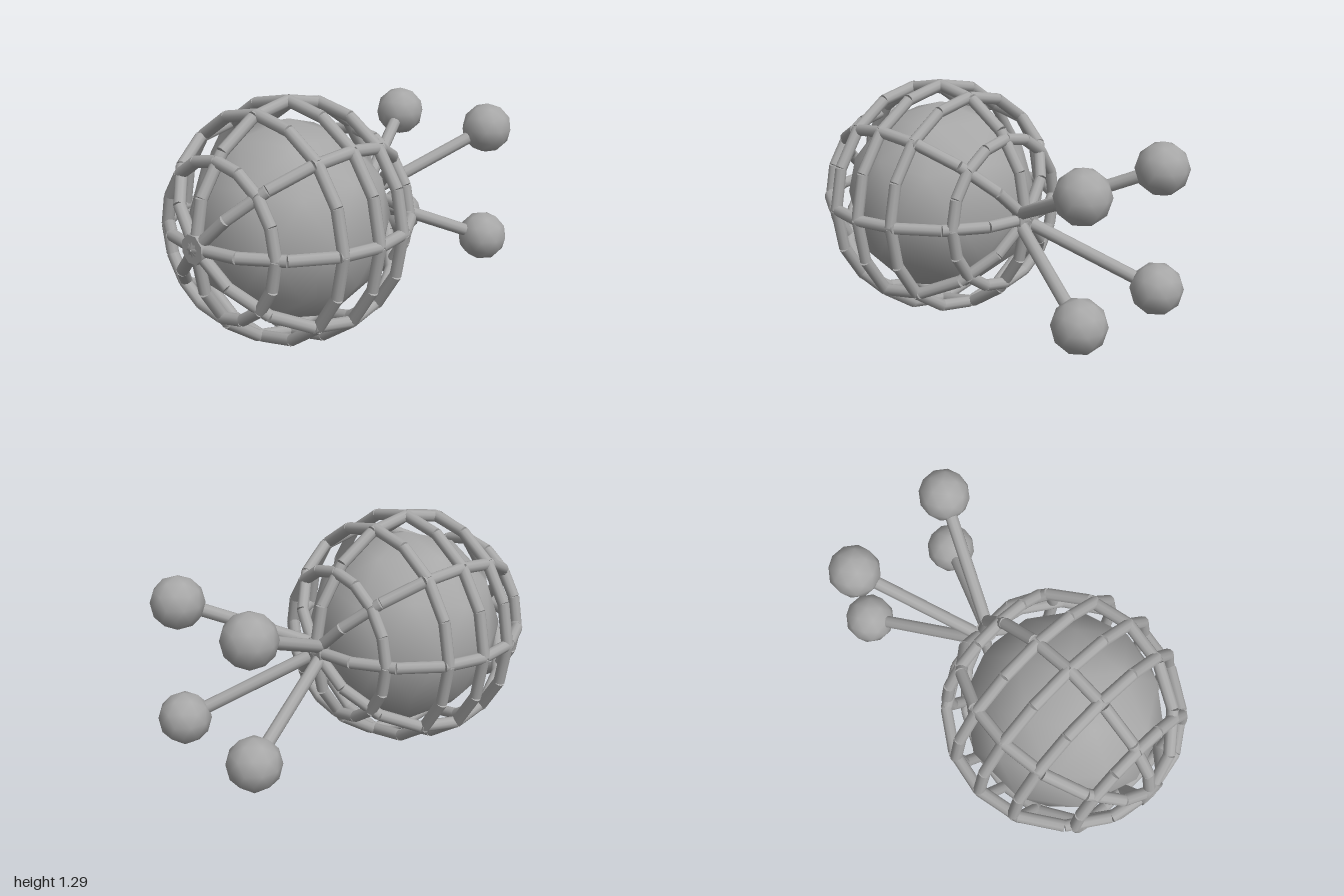
import * as THREE from 'three';

const CENTER = new THREE.Vector3(0, 0.65, 0.36);
const CAGE_R = 0.615;
const TUBE_R = 0.031;
const STEPS = 16;
const UP = new THREE.Vector3(0, 1, 0);

export function createModel() {
  const model = new THREE.Group();
  const grey = new THREE.MeshStandardMaterial({ color: 0xa8a8a8 });
  grey.name = 'plain grey';

  const add = (parent, name, geometry) => {
    const mesh = new THREE.Mesh(geometry, grey);
    mesh.name = name;
    parent.add(mesh);
    return mesh;
  };

  // Straight rod between two points
  const rod = (parent, name, a, b, radius) => {
    const dir = b.clone().sub(a);
    const mesh = add(parent, name, new THREE.CylinderGeometry(radius, radius, dir.length(), 10));
    mesh.position.copy(a).add(b).multiplyScalar(0.5);
    mesh.quaternion.setFromUnitVectors(UP, dir.normalize());
  };

  // Low-poly ball with a vertex straight up
  const ball = (parent, name, radius) =>
    add(parent, name, new THREE.IcosahedronGeometry(radius, 1).rotateZ(Math.atan2(2, 1 + Math.sqrt(5))));

  // Closed hoop of straight rods, in the plane given by the point function
  const hoop = (parent, name, pointAt) => {
    const group = new THREE.Group();
    group.name = name;
    for (let i = 0; i < STEPS; i++) {
      const a = (i / STEPS) * Math.PI * 2;
      const b = ((i + 1) / STEPS) * Math.PI * 2;
      rod(group, 'hoopRod', pointAt(a), pointAt(b), TUBE_R);
    }
    parent.add(group);
  };

  // Body: core ball within a cage
  const body = new THREE.Group();
  body.name = 'body';
  body.position.copy(CENTER);
  model.add(body);
  ball(body, 'coreBall', 0.525);

  // Cross hoops along the front-back axis
  for (const z of [-0.47, -0.21, 0, 0.21, 0.47]) {
    const r = Math.sqrt(CAGE_R ** 2 - z ** 2);
    hoop(body, 'crossHoop', (t) => new THREE.Vector3(r * Math.cos(t), r * Math.sin(t), z));
  }

  // Four great hoops through the front and back poles
  for (let k = 0; k < 4; k++) {
    const turn = (k * Math.PI) / 4;
    hoop(body, 'poleHoop', (t) => {
      const r = CAGE_R * Math.sin(t);
      return new THREE.Vector3(r * Math.cos(turn), r * Math.sin(turn), CAGE_R * Math.cos(t));
    });
  }

  // Eight-sided hubs where the great hoops meet
  for (const side of [-1, 1]) {
    const hub = add(body, side > 0 ? 'frontHub' : 'backHub',
      new THREE.CylinderGeometry(0.076, 0.076, 0.045, 8).rotateY(Math.PI / 8).rotateX(Math.PI / 2));
    hub.position.z = side * 0.616;
  }

  // Four splayed rear arms with ball ends
  for (const sx of [-1, 1]) {
    for (const sy of [-1, 1]) {
      const arm = new THREE.Group();
      arm.name = (sy > 0 ? 'upper' : 'lower') + (sx > 0 ? 'Left' : 'Right') + 'Arm';
      const root = new THREE.Vector3(sx * 0.015, 0.65 + sy * 0.015, -0.21);
      const tip = new THREE.Vector3(sx * 0.318, 0.65 + sy * 0.318, -0.863);
      rod(arm, 'armRod', root, tip, 0.034);
      ball(arm, 'armBall', 0.138).position.copy(tip);
      model.add(arm);
    }
  }

  return model;
}
